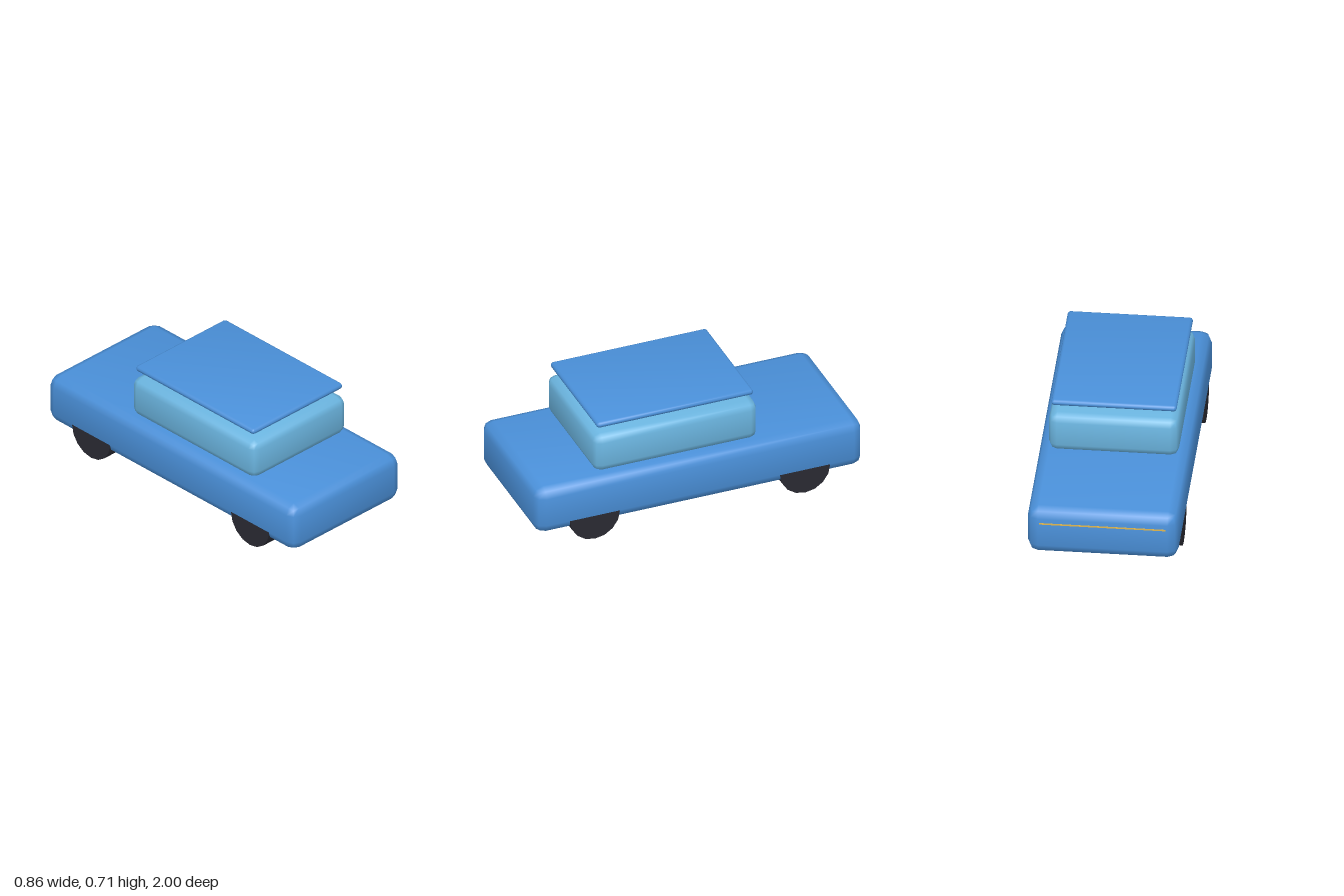
import * as THREE from 'three';
import { RoundedBoxGeometry } from 'three/addons/geometries/RoundedBoxGeometry.js';

const material = (name, color) => {
  const m = new THREE.MeshStandardMaterial({ color });
  m.name = name;
  return m;
};

// Low-poly rounded box given by its min and max corners, with softly swelling normals
function softBox(min, max, radius) {
  const size = max.map((v, i) => v - min[i]);
  const geo = new RoundedBoxGeometry(...size, 1, radius);
  const p = geo.attributes.position;
  const n = geo.attributes.normal;
  const v = new THREE.Vector3();
  for (let i = 0; i < p.count; i++) {
    v.fromBufferAttribute(n, i);
    v.x += 0.2 * Math.sign(p.getX(i));
    v.y += 0.2 * Math.sign(p.getY(i));
    v.z += 0.2 * Math.sign(p.getZ(i));
    v.normalize();
    n.setXYZ(i, v.x, v.y, v.z);
  }
  geo.translate(...max.map((m, i) => (m + min[i]) / 2));
  return geo;
}

export function createModel() {
  const car = new THREE.Group();
  car.name = 'car';

  const paint = material('body blue', 0x4a90d9);
  const glass = material('cabin light blue', 0x6bb5e0);
  const rubber = material('tyre black', 0x2a2a32);
  const lamp = material('lamp yellow', 0xe0b850);

  const add = (name, geo, mat) => {
    const mesh = new THREE.Mesh(geo, mat);
    mesh.name = name;
    car.add(mesh);
    return mesh;
  };

  // Body, cabin and floating roof panel
  add('body', softBox([-0.428, 0.095, -1], [0.428, 0.39, 0.999], 0.06), paint);
  add('cabin', softBox([-0.37, 0.39, -0.38], [0.37, 0.63, 0.62], 0.047), glass);
  add('roof', softBox([-0.356, 0.68, -0.355], [0.356, 0.715, 0.6], 0.016), paint);

  // Wheels, flush with the sides of the body
  const wheelGeo = new THREE.CylinderGeometry(0.153, 0.153, 0.122, 16).rotateZ(Math.PI / 2);
  for (const [end, z] of [['front', 0.645], ['rear', -0.64]]) {
    for (const [side, s] of [['Left', 1], ['Right', -1]]) {
      add(end + side + 'Wheel', wheelGeo, rubber).position.set(s * 0.366, 0.153, z);
    }
  }

  // Slim light strip across the tail
  add('tailLight', new THREE.BoxGeometry(0.72, 0.01, 0.004), lamp).position.set(0, 0.3, -0.999);

  return car;
}
